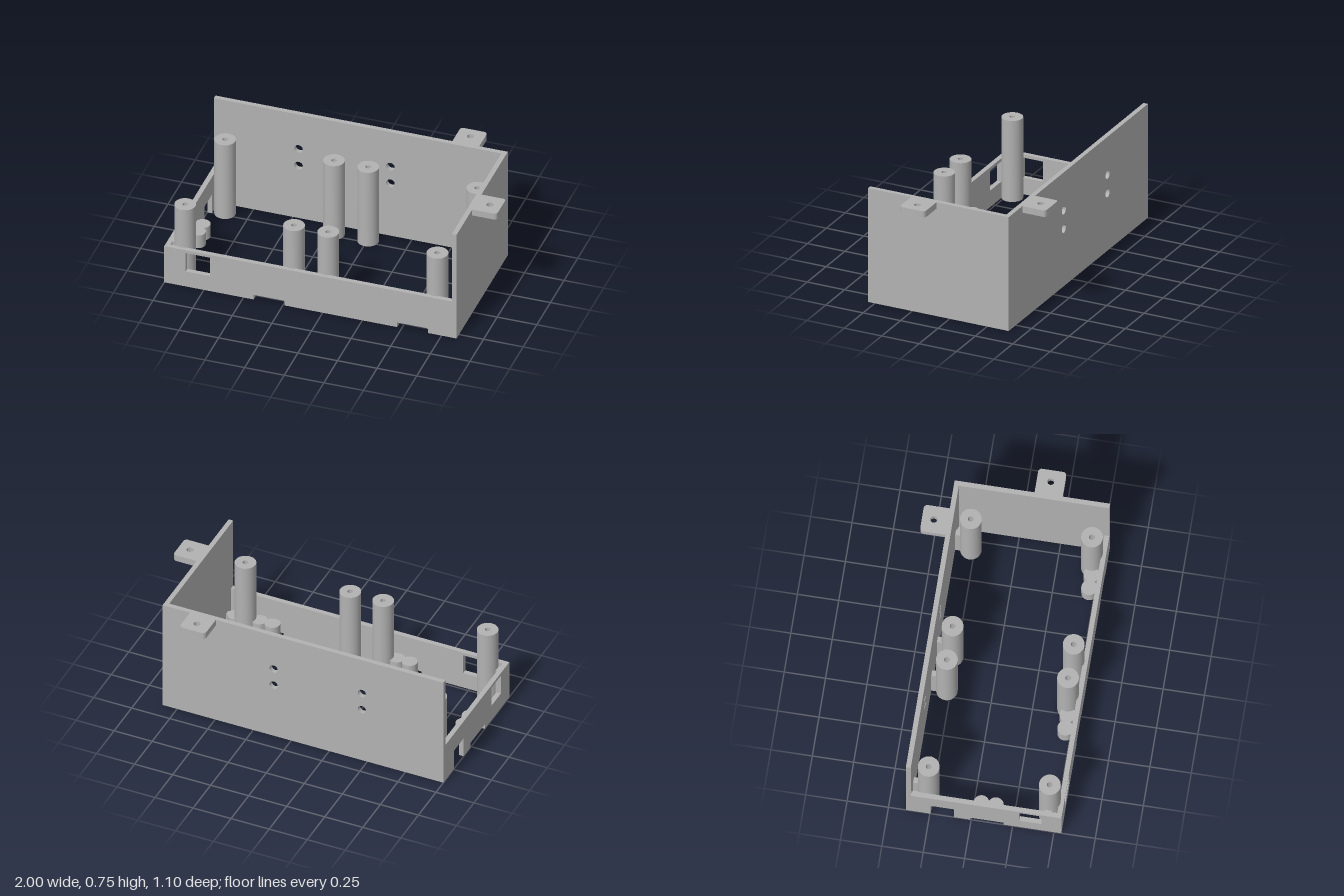
import * as THREE from 'three';
import { toCreasedNormals } from 'three/addons/utils/BufferGeometryUtils.js';

const H = 0.745;      // tall walls
const LOW = 0.26;     // low walls
const T = 0.03;       // wall thickness
const X0 = -1, X1 = 0.845, Z0 = -0.395, Z1 = 0.545;

const polygon = (pts) => new THREE.Shape(pts.map(([x, y]) => new THREE.Vector2(x, y)));

function rectHole(x0, x1, y0, y1) {
  return new THREE.Path([[x0, y0], [x0, y1], [x1, y1], [x1, y0]].map(([x, y]) => new THREE.Vector2(x, y)));
}

function roundHole(x, y, r) {
  return new THREE.Path().absarc(x, y, r, 0, Math.PI * 2, true);
}

// Wall outline with notches [from, to, height] cut in the bottom edge
function wallShape(a, b, height, notches = [], holes = []) {
  const pts = [[a, 0]];
  for (const [n0, n1, h] of notches) pts.push([n0, 0], [n0, h], [n1, h], [n1, 0]);
  pts.push([b, 0], [b, height], [a, height]);
  const shape = polygon(pts);
  shape.holes.push(...holes);
  return shape;
}

function extrude(shape, depth) {
  const geo = new THREE.ExtrudeGeometry(shape, { depth, bevelEnabled: false, curveSegments: 16 });
  return toCreasedNormals(geo, 0.6);
}

// Hollow post: wide bore from below, narrow bore at the top
function postGeometry(r, height, wide, narrow, step) {
  const profile = [[wide, 0], [r, 0], [r, height], [narrow, height], [narrow, step], [wide, step], [wide, 0]];
  const geo = new THREE.LatheGeometry(profile.map(([x, y]) => new THREE.Vector2(x, y)), 40);
  return toCreasedNormals(geo, 0.6);
}

// Short post: blind hole from below, closed top
function pegGeometry(r, height, bore, depth) {
  const profile = [[0, depth], [bore, depth], [bore, 0], [r, 0], [r, height], [0, height]];
  const geo = new THREE.LatheGeometry(profile.map(([x, y]) => new THREE.Vector2(x, y)), 32);
  return toCreasedNormals(geo, 0.6);
}

// Mounting tab pointing to +y of the shape, outer corners rounded
function tabGeometry() {
  const w = 0.085, l = 0.155, c = 0.022;
  const s = new THREE.Shape();
  s.moveTo(-w, 0);
  s.lineTo(w, 0);
  s.lineTo(w, l - c);
  s.absarc(w - c, l - c, c, 0, Math.PI / 2, false);
  s.lineTo(-w + c, l);
  s.absarc(-w + c, l - c, c, Math.PI / 2, Math.PI, false);
  s.lineTo(-w, 0);
  s.holes.push(roundHole(0, 0.083, 0.021));
  return extrude(s, 0.042).rotateX(-Math.PI / 2); // now points to -z
}

export function createModel() {
  const group = new THREE.Group();
  const grey = new THREE.MeshStandardMaterial({ color: 0xb2b2b2 });
  grey.name = 'grey plastic';

  const add = (name, geo, x = 0, y = 0, z = 0, turn = 0) => {
    const mesh = new THREE.Mesh(geo, grey);
    mesh.name = name;
    mesh.position.set(x, y, z);
    mesh.rotation.y = turn;
    group.add(mesh);
    return mesh;
  };

  // Back wall with two pairs of cable tie holes
  const tieHoles = [];
  for (const x of [-0.465, 0.115]) for (const y of [0.377, 0.497]) tieHoles.push(roundHole(x, y, 0.027));
  add('backWall', extrude(wallShape(X0, X1, H, [], tieHoles), T), 0, 0, Z0);

  // Low front wall with window and two shallow notches
  const frontShape = wallShape(X0, X1 - T, LOW,
    [[-0.435, -0.24, 0.033], [0.47, 0.665, 0.033]],
    [rectHole(-0.865, -0.71, 0.108, 0.24)]);
  add('frontWall', extrude(frontShape, T), 0, 0, Z1 - T);

  // Low left-hand wall with window, tall notch and shallow notch
  const sideShape = wallShape(Z0 + T, Z1 - T, LOW,
    [[-0.245, -0.105, 0.135], [-0.005, 0.195, 0.033]],
    [rectHole(0.29, 0.425, 0.108, 0.24)]);
  add('lowSideWall', extrude(sideShape, T).rotateY(-Math.PI / 2), X0 + T);

  // Tall plain side wall
  add('tallSideWall', new THREE.BoxGeometry(T, H, Z1 - Z0 - T), X1 - T / 2, H / 2, (Z0 + T + Z1) / 2);

  // Mounting tabs at the top edge
  const tab = tabGeometry();
  add('backTab', tab, 0.58, H - 0.042, Z0);
  add('sideTab', tab, X1, H - 0.042, 0.173, -Math.PI / 2);

  // Tall board posts in two rows, back row joined to the wall by ribs
  const post = postGeometry(0.065, 0.53, 0.038, 0.017, 0.42);
  const rib = new THREE.BoxGeometry(0.035, LOW, 0.05);
  for (const x of [-0.897, -0.21, 0.006, 0.695]) {
    add('backPost', post, x, 0, -0.273);
    add('frontPost', post, x, 0, 0.459);
    add('postRib', rib, x, LOW / 2, -0.353);
  }
  add('sideRib', new THREE.BoxGeometry(0.03, LOW, 0.04), -0.965, LOW / 2, 0.459);

  // Short pegs in pairs above the shallow notches
  const peg = pegGeometry(0.048, 0.09, 0.02, 0.07);
  for (const [x, z] of [[-0.38, 0.47], [-0.295, 0.47], [0.523, 0.47], [0.607, 0.47], [-0.928, 0.05], [-0.928, 0.137]]) {
    add('peg', peg, x, 0.033, z);
  }

  // Corner pegs with small webs to the tall wall
  const cornerPeg = pegGeometry(0.048, 0.12, 0.02, 0.1);
  for (const [x, z] of [[-0.925, -0.317], [0.76, -0.317], [0.76, 0.459]]) add('cornerPeg', cornerPeg, x, 0, z);
  for (const z of [-0.317, 0.459]) add('cornerWeb', new THREE.BoxGeometry(0.03, 0.12, 0.03), 0.808, 0.06, z);

  return group;
}
